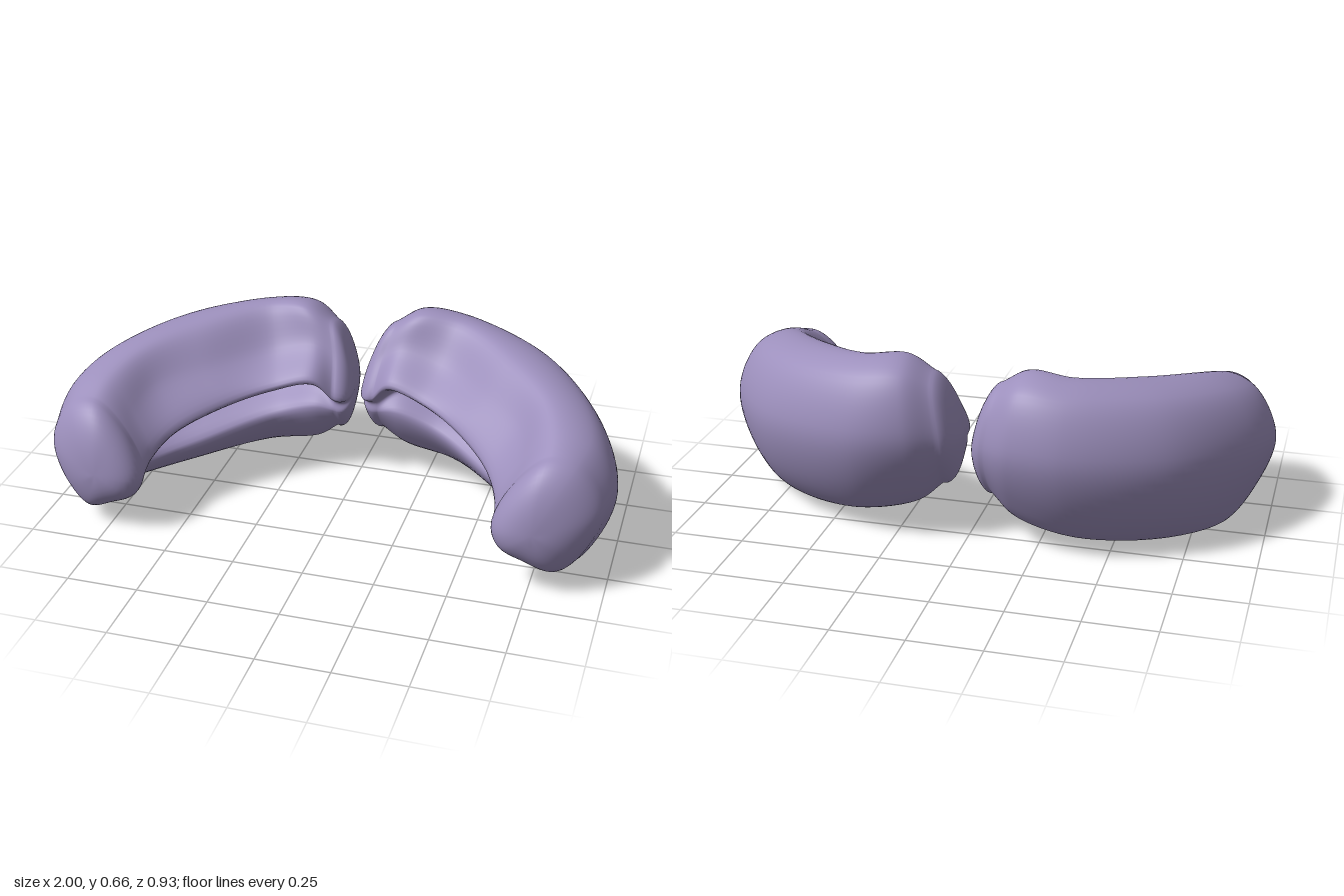
import * as THREE from 'three';
import { mergeVertices } from 'three/addons/utils/BufferGeometryUtils.js';

// Lengthwise rails of one curved pad, from the inner end round to the front end
const rails = {
  outerSide: [[.08, .45, -.385], [.18, .46, -.445], [.37, .45, -.46], [.71, .42, -.305], [.94, .39, -.01], [1, .36, .19], [.975, .35, .32]],
  topOuter: [[.11, .61, -.35], [.20, .655, -.39], [.37, .645, -.39], [.66, .615, -.24], [.86, .57, .02], [.915, .53, .20], [.89, .50, .33]],
  crest: [[.12, .645, -.25], [.21, .695, -.25], [.36, .685, -.26], [.575, .65, -.10], [.73, .61, .09], [.785, .565, .24], [.79, .525, .34]],
  innerFace: [[.09, .54, -.18], [.16, .58, -.18], [.32, .55, -.16], [.51, .53, 0], [.65, .50, .14], [.685, .46, .27], [.685, .43, .35]],
  lip: [[.075, .41, -.11], [.14, .48, -.075], [.28, .45, -.04], [.43, .41, .06], [.56, .36, .20], [.61, .31, .30], [.62, .28, .36]],
  recess: [[.08, .37, -.16], [.16, .41, -.21], [.34, .38, -.25], [.58, .34, -.10], [.73, .29, .10], [.71, .23, .26], [.65, .20, .36]],
  floor: [[.08, .33, -.16], [.15, .34, -.15], [.31, .29, -.14], [.53, .22, 0], [.71, .17, .14], [.76, .15, .25], [.74, .15, .35]],
  bottomEdge: [[.09, .23, -.25], [.17, .165, -.27], [.37, .115, -.28], [.64, .07, -.13], [.83, .06, .06], [.87, .085, .23], [.85, .11, .33]],
  lowerSide: [[.08, .32, -.34], [.17, .27, -.37], [.38, .22, -.38], [.70, .17, -.22], [.91, .18, .03], [.96, .20, .22], [.935, .21, .33]],
};

const STATIONS = 64, AROUND = 72, CAP = 12;

function padGeometry(side, dy) {
  const curves = Object.values(rails).map(
    pts => new THREE.CatmullRomCurve3(pts.map(p => new THREE.Vector3(...p))));

  // Closed cross-section through all rails at one station
  const section = t => {
    const loop = new THREE.CatmullRomCurve3(curves.map(c => c.getPoint(t)), true);
    return Array.from({ length: AROUND }, (_, j) => loop.getPoint(j / AROUND));
  };
  // Rounded end: rings shrink to the centre while moving outward
  const cap = (ring, push) => {
    const centre = ring.reduce((s, p) => s.add(p), new THREE.Vector3()).divideScalar(AROUND);
    return Array.from({ length: CAP }, (_, k) => {
      const a = (k + 1) / CAP * Math.PI / 2;
      const shrink = k === CAP - 1 ? 0 : Math.cos(a) ** 0.9;
      return ring.map(p => p.clone().lerp(centre, 1 - shrink).addScaledVector(push, Math.sin(a)));
    });
  };

  const body = Array.from({ length: STATIONS + 1 }, (_, i) => section(i / STATIONS));
  const rings = [
    ...cap(body[0], new THREE.Vector3(-.07, -.02, .015)).reverse(),
    ...body,
    ...cap(body[STATIONS], new THREE.Vector3(-.03, -.01, .12)),
  ];

  const position = rings.flat().flatMap(p => [p.x * side, p.y + dy, p.z]);
  const index = [];
  for (let i = 0; i < rings.length - 1; i++) {
    for (let j = 0; j < AROUND; j++) {
      const k = (j + 1) % AROUND;
      const a = i * AROUND + j, b = i * AROUND + k, c = a + AROUND, d = b + AROUND;
      if (side > 0) index.push(a, b, c, b, d, c);
      else index.push(a, c, b, b, c, d);
    }
  }
  let geometry = new THREE.BufferGeometry();
  geometry.setAttribute('position', new THREE.Float32BufferAttribute(position, 3));
  geometry.setIndex(index);
  geometry = mergeVertices(geometry, 1e-5);
  geometry.computeVertexNormals();
  return geometry;
}

export function createModel() {
  const group = new THREE.Group();
  group.name = 'curvedPads';
  const material = new THREE.MeshStandardMaterial({ color: 0x9d90bd });

  // Mirrored pair; the right pad sits slightly lower
  for (const [name, side, dy] of [['leftPad', 1, 0], ['rightPad', -1, -.02]]) {
    const pad = new THREE.Mesh(padGeometry(side, dy), material);
    pad.name = name;
    group.add(pad);
  }
  return group;
}
